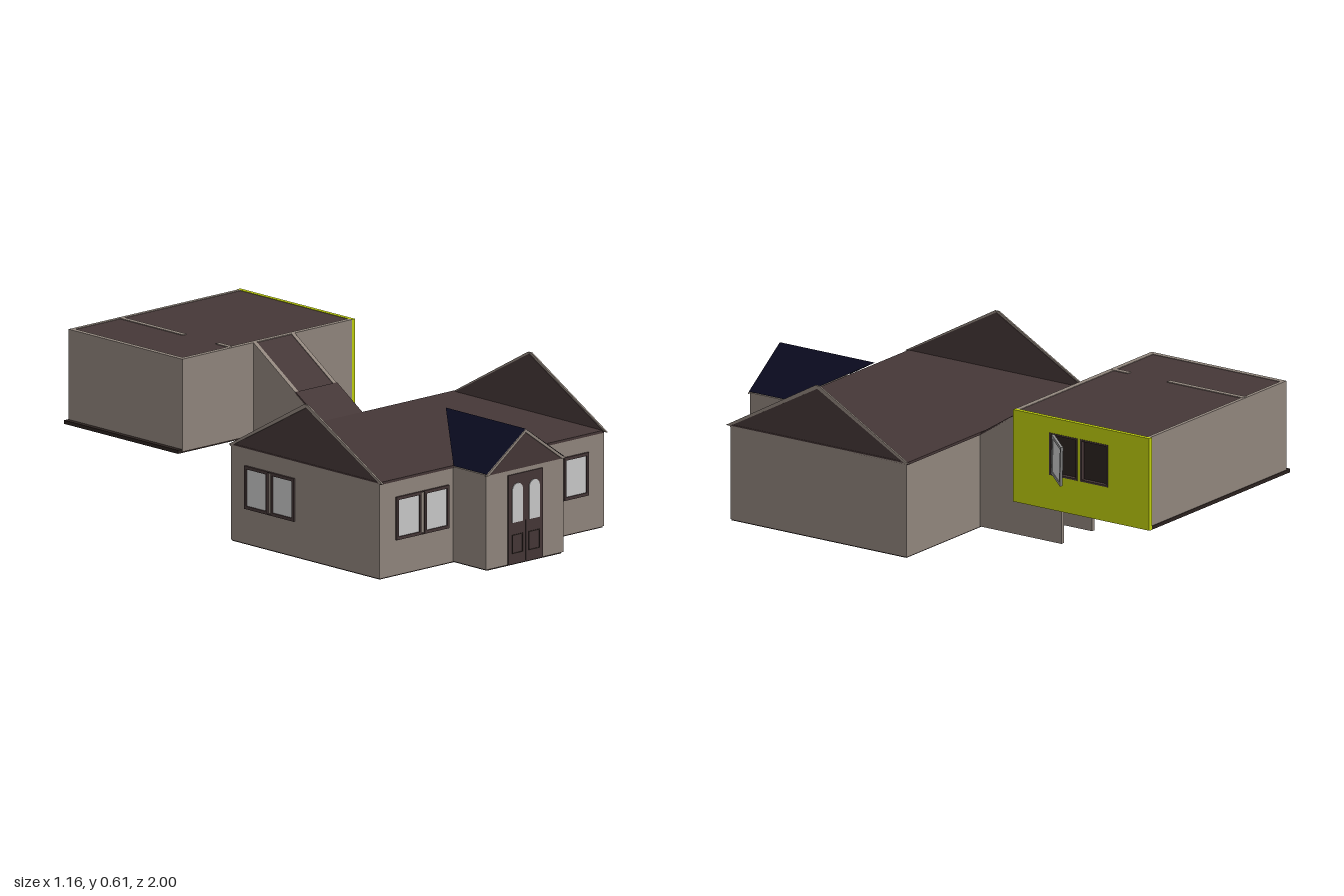
import * as THREE from 'three';

const mat = (name, color, side = THREE.FrontSide) => {
  const m = new THREE.MeshStandardMaterial({ color, side });
  m.name = name;
  return m;
};

export function createModel() {
  const model = new THREE.Group();
  model.name = 'house';
  const beige = mat('beige wall', 0x91867d);
  const brown = mat('brown roof', 0x453737);
  const dark = mat('dark timber', 0x2c2320);
  const navy = mat('navy roof', 0x0b0c22, THREE.DoubleSide);
  const yellow = mat('yellow wall', 0xc0cf0e);
  const glass = mat('pale glass', 0xcacaca);
  const grey = mat('grey sash', 0x8f8f8f);

  const add = (name, geo, material, parent = model) => {
    const m = new THREE.Mesh(geo, material);
    m.name = name;
    parent.add(m);
    return m;
  };
  // Box given by its minimum and maximum on each axis
  const box = (name, material, x0, x1, y0, y1, z0, z1, parent) => {
    const g = new THREE.BoxGeometry(x1 - x0, y1 - y0, z1 - z0);
    g.translate((x0 + x1) / 2, (y0 + y1) / 2, (z0 + z1) / 2);
    return add(name, g, material, parent);
  };
  const polygon = pts => new THREE.Shape(pts.map(p => new THREE.Vector2(...p)));
  const rect = (x0, x1, y0, y1) => polygon([[x0, y0], [x1, y0], [x1, y1], [x0, y1]]);
  // Front-facing plate: outline in x, y
  const plate = (name, material, shape, z0, depth, parent) => {
    const g = new THREE.ExtrudeGeometry(shape, { depth, bevelEnabled: false, curveSegments: 10 });
    return add(name, g.translate(0, 0, z0), material, parent);
  };
  // Side-facing plate: outline in z, y, spanning x0 to x1
  const sidePlate = (name, material, shape, x0, x1, parent) => {
    const g = new THREE.ExtrudeGeometry(shape, { depth: x1 - x0, bevelEnabled: false });
    return add(name, g.rotateY(-Math.PI / 2).translate(x1, 0, 0), material, parent);
  };

  // Main block: four walls, plank floor, flat roof deck
  const W = 0.575, T = 0.02;
  for (const s of [-1, 1]) {
    const xs = [s * W, s * (W - T)].sort((a, b) => a - b);
    box('mainSideWall', beige, xs[0], xs[1], 0.005, 0.37, 0, 0.81);
  }
  box('mainFrontWall', beige, -W + T, W - T, 0.005, 0.37, 0.79, 0.81);
  box('mainBackWall', beige, -W + T, W - T, 0.005, 0.37, 0, T);
  box('mainFloor', dark, -W + 0.003, W - 0.003, 0, 0.015, 0.003, 0.807);
  box('mainRoofDeck', brown, -W, W, 0.365, 0.375, -0.005, 0.812);

  // Standing gables at both ends, with rake trim
  for (const s of [-1, 1]) {
    const a = s > 0 ? 0.567 : -0.573;
    sidePlate('endGable', brown, polygon([[0, 0.37], [0.82, 0.37], [0.41, 0.595]]), a, a + 0.006);
    const rake = polygon([[-0.01, 0.37], [0.01, 0.37], [0.41, 0.588], [0.81, 0.37],
      [0.83, 0.37], [0.42, 0.6], [0.4, 0.6]]);
    const t = s > 0 ? 0.57 : -0.577;
    sidePlate('gableRake', beige, rake, t, t + 0.007);
  }

  // Porch
  for (const s of [-1, 1]) {
    const xs = [s * 0.198, s * 0.183].sort((a, b) => a - b);
    box('porchSideWall', beige, xs[0], xs[1], 0.005, 0.37, 0.8, 0.975);
  }
  box('porchFrontWall', beige, -0.198, 0.198, 0.005, 0.37, 0.975, 0.99);
  box('porchFloor', dark, -0.19, 0.19, 0, 0.015, 0.8, 0.985);
  plate('porchGable', brown, polygon([[-0.198, 0.367], [0.198, 0.367], [0, 0.508]]), 0.975, 0.016);
  plate('porchRake', beige, polygon([[-0.205, 0.367], [-0.188, 0.367], [0, 0.502], [0.188, 0.367],
    [0.205, 0.367], [0, 0.515]]), 0.991, 0.006);

  // Porch roof slopes, mitred toward the back
  const roof = new THREE.BufferGeometry();
  const corners = [];
  for (const s of [-1, 1]) {
    const A = [s * 0.2, 0.374, 0.995], B = [0, 0.516, 0.995], C = [0, 0.516, 0.56], D = [s * 0.2, 0.374, 0.815];
    const q = s < 0 ? [A, B, C, A, C, D] : [A, C, B, A, D, C];
    corners.push(...q.flat());
  }
  roof.setAttribute('position', new THREE.Float32BufferAttribute(corners, 3));
  roof.computeVertexNormals();
  add('porchRoof', roof, navy);

  // Double door with arched lights and outlined lower panels
  const door = new THREE.Group();
  door.name = 'doubleDoor';
  model.add(door);
  box('doorLeaves', brown, -0.088, 0.088, 0.005, 0.35, 0.988, 0.995, door);
  box('doorSeam', dark, -0.001, 0.001, 0.01, 0.165, 0.995, 0.997, door);
  for (const s of [-1, 1]) {
    const c = s * 0.043, r = 0.027;
    const arch = new THREE.Shape();
    arch.moveTo(c - r, 0.165);
    arch.lineTo(c + r, 0.165);
    arch.lineTo(c + r, 0.288);
    arch.absarc(c, 0.288, r, 0, Math.PI, false);
    plate('archedLight', glass, arch, 0.995, 0.003, door);
    const panel = rect(c - 0.028, c + 0.028, 0.045, 0.118);
    panel.holes.push(rect(c - 0.025, c + 0.025, 0.048, 0.115));
    plate('doorPanelOutline', dark, panel, 0.995, 0.003, door);
  }

  // Paired window centred on the origin, facing +z
  const pairedWindow = (name) => {
    const g = new THREE.Group();
    g.name = name;
    const rim = rect(-0.134, 0.134, -0.083, 0.083);
    rim.holes.push(rect(-0.01, 0.01, -0.079, 0.079));
    for (const s of [-1, 1]) {
      const c = s * 0.071;
      rim.holes.push(rect(c - 0.053, c + 0.053, -0.071, 0.071));
      box('pane', glass, c - 0.054, c + 0.054, -0.072, 0.072, 0, 0.003, g);
    }
    plate('windowFrame', brown, rim, 0, 0.008, g);
    model.add(g);
    return g;
  };
  pairedWindow('frontWindow').position.set(-0.358, 0.222, 0.81);
  pairedWindow('frontWindow').position.set(0.358, 0.222, 0.81);
  const sideWindow = pairedWindow('sideWindow');
  sideWindow.position.set(-W, 0.222, 0.215);
  sideWindow.rotation.y = -Math.PI / 2;

  // Sloping passage with stairs, joining the two blocks
  for (const s of [-1, 1]) {
    const xs = [s * 0.106, s * 0.089].sort((a, b) => a - b);
    sidePlate('passageWall', beige,
      polygon([[0, 0.005], [0, 0.365], [-0.375, 0.61], [-0.375, 0.005]]), xs[0], xs[1]);
  }
  sidePlate('passageRoof', brown,
    polygon([[0, 0.345], [0, 0.362], [-0.375, 0.607], [-0.375, 0.59]]), -0.089, 0.089);
  sidePlate('passageRoofFoot', brown,
    polygon([[0, 0.362], [0, 0.37], [-0.145, 0.463], [-0.145, 0.455]]), -0.106, 0.106);
  const steps = 9, run = 0.33 / steps, rise = 0.26 / steps;
  for (let i = 0; i < steps; i++) {
    const z = -0.04 - i * run, y = i * rise;
    box('stairStep', dark, -0.088, 0.088, y, y + rise * 1.3, z - run, z);
  }

  // Raised rear block
  const bx0 = -0.47, bx1 = 0.4, bz0 = -0.995, bz1 = -0.375;
  box('rearFrontWall', beige, bx0, bx1, 0.255, 0.61, bz1 - T, bz1);
  box('rearBackWall', beige, bx0, bx1, 0.255, 0.61, bz0, bz0 + 0.015);
  box('rearSideWall', beige, bx0, bx0 + T, 0.255, 0.61, bz0 + 0.015, bz1 - T);
  box('rearFloor', dark, -0.49, 0.405, 0.248, 0.262, -0.998, -0.378);
  box('rearRoofDeck', brown, bx0 + T, 0.41, 0.595, 0.608, bz0 + 0.015, bz1 - 0.004);
  box('partitionTop', beige, -0.22, -0.2, 0.58, 0.611, bz0 + 0.005, -0.64);
  box('partitionTop', beige, -0.22, -0.2, 0.58, 0.611, -0.46, bz1 - 0.01);

  // Yellow end wall with its window opening
  const wall = rect(-1, -0.375, 0.25, 0.61);
  wall.holes.push(rect(-0.81, -0.683, 0.385, 0.55), rect(-0.67, -0.54, 0.385, 0.55));
  sidePlate('yellowEndWall', yellow, wall, 0.398, 0.415);
  box('openingShade', dark, 0.39, 0.4, 0.38, 0.555, -0.815, -0.535);
  for (const [a, b] of [[-0.81, -0.683], [-0.67, -0.54]]) {
    const rim = rect(a, b, 0.385, 0.55);
    rim.holes.push(rect(a + 0.007, b - 0.007, 0.392, 0.543));
    sidePlate('openingFrame', brown, rim, 0.4, 0.417);
  }

  // Window sash swung outward and hanging askew
  const sash = new THREE.Group();
  sash.name = 'openSash';
  const rim = rect(-0.066, 0.066, -0.078, 0.078);
  rim.holes.push(rect(-0.054, 0.054, -0.066, 0.066));
  plate('sashFrame', grey, rim, -0.005, 0.01, sash);
  box('sashPane', glass, -0.055, 0.055, -0.067, 0.067, -0.002, 0.002, sash);
  sash.position.set(0.455, 0.463, -0.605);
  sash.rotation.set(0, 0.885, -0.09);
  model.add(sash);

  return model;
}
